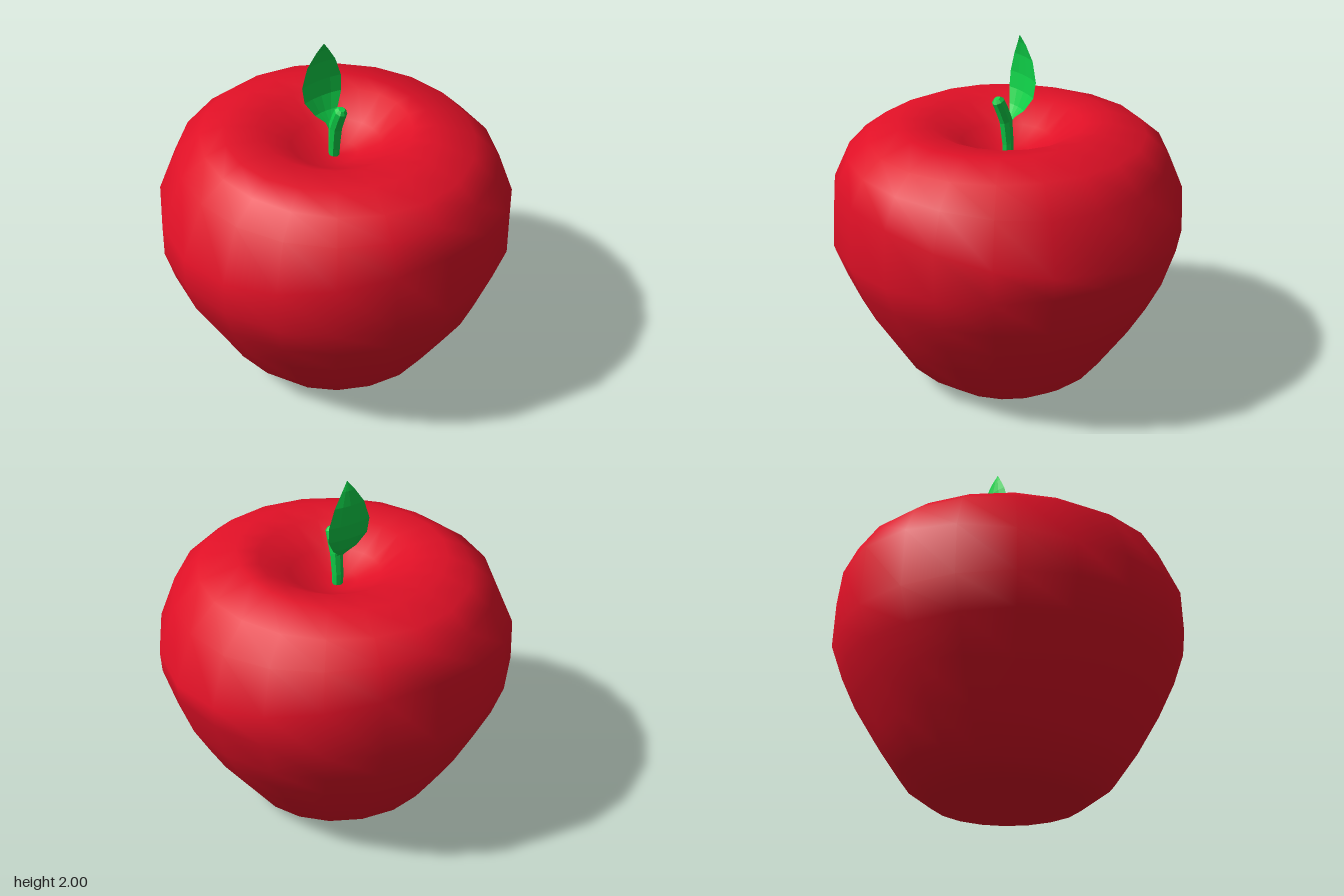
import * as THREE from 'three';
import { mergeVertices } from 'three/addons/utils/BufferGeometryUtils.js';

// Outer profiles [radius, height], bottom to top, for three sides of the fruit
const LEFT = [[0.43, 0], [0.54, 0.08], [0.74, 0.36], [0.83, 0.52], [0.92, 0.69], [0.99, 0.93], [1, 1.03], [0.9, 1.32], [0.75, 1.47], [0.52, 1.53]];
const RIGHT = [[0.36, 0], [0.51, 0.03], [0.67, 0.2], [0.81, 0.46], [0.95, 0.71], [1, 0.89], [1, 1.07], [0.87, 1.38], [0.73, 1.48], [0.62, 1.53]];
const FRONT = [[0.43, 0], [0.61, 0.14], [0.73, 0.335], [0.85, 0.53], [0.92, 0.7], [0.988, 0.88], [0.965, 1.23], [0.89, 1.38], [0.78, 1.47], [0.6, 1.53]];
// Hollows shared by all sides
const BASE = [[0, 0.08], [0.22, 0.05]];
const DIMPLE = [[0.42, 1.522], [0.25, 1.42], [0.12, 1.36], [0, 1.34]];

// Lathe with 20 sides whose profile blends around the fruit
function fruitGeometry() {
  const whole = (side) => [...BASE, ...side, ...DIMPLE];
  const [left, right, front] = [LEFT, RIGHT, FRONT].map(whole);
  const sides = 20;
  const geo = new THREE.LatheGeometry(front.map(([r, y]) => new THREE.Vector2(r, y)), sides);
  const pos = geo.attributes.position;
  const n = front.length;
  for (let i = 0; i < pos.count; i++) {
    const step = Math.floor(i / n) % sides;
    const a = (step / sides) * Math.PI * 2;
    const s = Math.sin(a), c = Math.cos(a), j = i % n;
    const side = s > 0 ? left[j] : right[j];
    const r = THREE.MathUtils.lerp(front[j][0], side[0], s * s);
    const y = THREE.MathUtils.lerp(front[j][1], side[1], s * s);
    pos.setXYZ(i, r * s, y, r * c);
  }
  geo.deleteAttribute('uv');
  geo.deleteAttribute('normal');
  const merged = mergeVertices(geo, 1e-4);
  merged.computeVertexNormals();
  return merged;
}

// Tapered stalk from rings along a leaning line: [y, z, radius]
function stemGeometry() {
  const rings = [[1.32, -0.01, 0.03], [1.4, -0.01, 0.032], [1.53, 0.003, 0.036], [1.6, 0.03, 0.036], [1.65, 0.053, 0.034], [1.668, 0.06, 0.018]];
  const geo = new THREE.CylinderGeometry(1, 1, 1, 8, rings.length - 1);
  const pos = geo.attributes.position;
  const tilt = 0.4;
  for (let i = 0; i < pos.count; i++) {
    const k = Math.round((pos.getY(i) + 0.5) * (rings.length - 1));
    const [y, z, r] = rings[k];
    const lx = pos.getX(i) * r, lz = pos.getZ(i) * r;
    pos.setXYZ(i, lx - 0.008, y - lz * tilt, z + lz);
  }
  geo.computeVertexNormals();
  return geo;
}

// Curved leaf from cross-sections: [y, z, half width]
function leafGeometry() {
  const rows = [[1.5, -0.005, 0.022], [1.545, -0.045, 0.028], [1.59, -0.08, 0.075], [1.67, -0.115, 0.122], [1.76, -0.128, 0.128], [1.87, -0.125, 0.092], [1.95, -0.108, 0.04], [2, -0.09, 0.002]];
  const geo = new THREE.PlaneGeometry(2, 1, 4, rows.length - 1);
  const pos = geo.attributes.position;
  for (let i = 0; i < pos.count; i++) {
    const k = Math.round((pos.getY(i) + 0.5) * (rows.length - 1));
    const [y, z, w] = rows[k];
    const u = pos.getX(i);
    pos.setXYZ(i, u * w - 0.015, y, z + 0.12 * w * u * u);
  }
  geo.computeVertexNormals();
  return geo;
}

export function createModel() {
  const red = new THREE.MeshStandardMaterial({ color: 0xe01026 });
  red.name = 'appleRed';
  const green = new THREE.MeshStandardMaterial({ color: 0x0fd048, flatShading: true, side: THREE.DoubleSide });
  green.name = 'leafGreen';

  const group = new THREE.Group();
  group.name = 'apple';
  const add = (name, geo, mat) => {
    const mesh = new THREE.Mesh(geo, mat);
    mesh.name = name;
    group.add(mesh);
  };
  add('fruit', fruitGeometry(), red);
  add('stem', stemGeometry(), green);
  add('leaf', leafGeometry(), green);
  return group;
}
